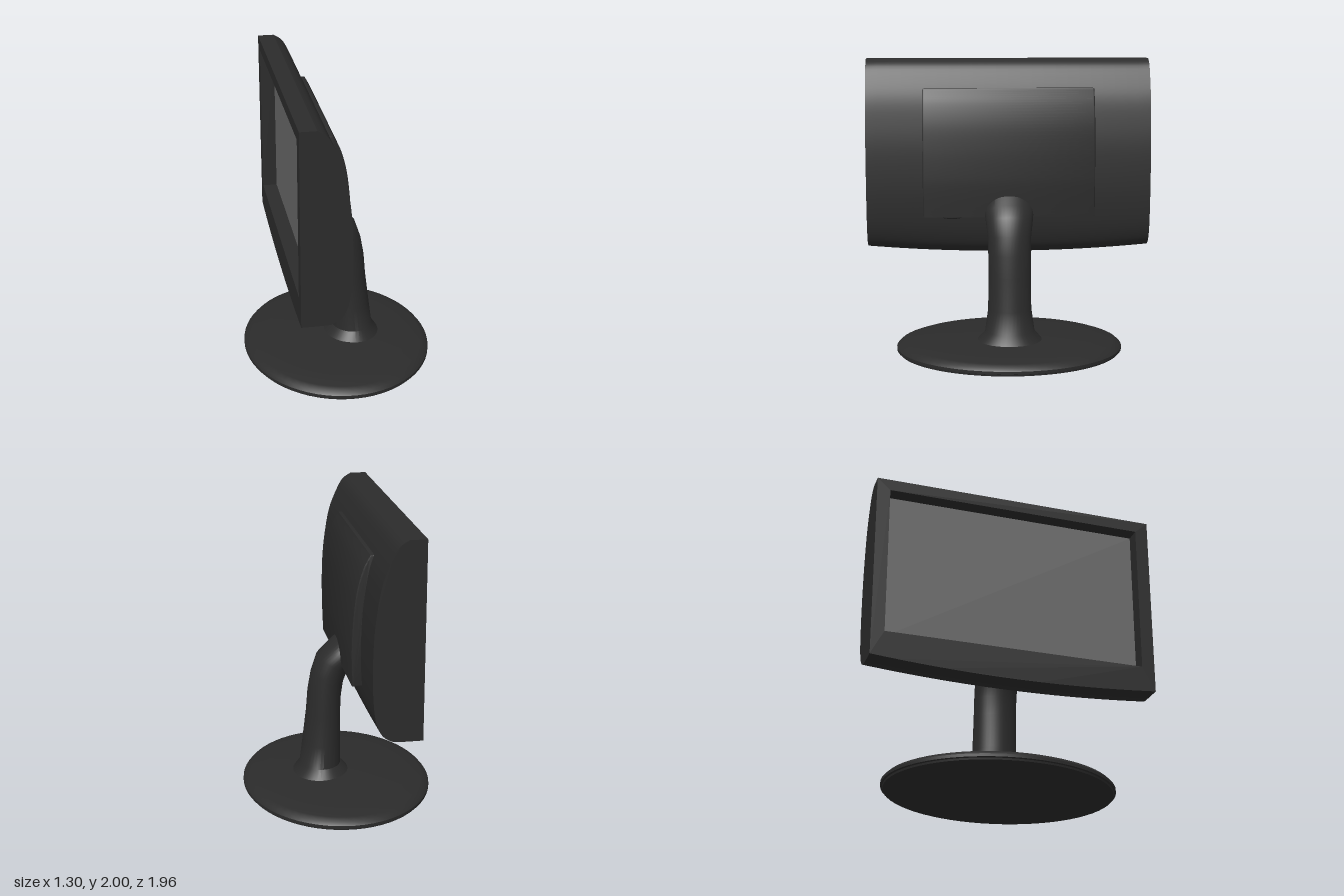
import * as THREE from 'three';
import { toCreasedNormals } from 'three/addons/utils/BufferGeometryUtils.js';

const dark = new THREE.MeshStandardMaterial({ color: 0x2b2b2b });
const glass = new THREE.MeshStandardMaterial({ color: 0x686868 });
const HALF = 0.98; // half width of the display along z

function add(group, name, geometry, material = dark) {
  const mesh = new THREE.Mesh(geometry, material);
  mesh.name = name;
  group.add(mesh);
  return mesh;
}

// Side profile in x/y: straight corner points joined to a smooth back curve
function profile(corners, curve) {
  const spline = new THREE.SplineCurve(curve.map(p => new THREE.Vector2(...p)));
  return new THREE.Shape([...corners.map(p => new THREE.Vector2(...p)), ...spline.getPoints(40)]);
}

// Skin through rings; each ring spans two points in x/y and has a half width in z
function loft(rings, sides) {
  const pos = [], index = [];
  for (const [x0, y0, x1, y1, w] of rings) {
    for (let i = 0; i < sides; i++) {
      const a = (i / sides) * Math.PI * 2, t = (1 + Math.cos(a)) / 2;
      pos.push(x0 + (x1 - x0) * t, y0 + (y1 - y0) * t, w * Math.sin(a));
    }
  }
  for (let r = 0; r < rings.length - 1; r++) {
    for (let i = 0; i < sides; i++) {
      const a = r * sides + i, b = r * sides + (i + 1) % sides;
      index.push(a, a + sides, b, b, a + sides, b + sides);
    }
  }
  const geo = new THREE.BufferGeometry();
  geo.setAttribute('position', new THREE.Float32BufferAttribute(pos, 3));
  geo.setIndex(index);
  return toCreasedNormals(geo, 0.55);
}

export function createModel() {
  const model = new THREE.Group();
  model.name = 'monitor';

  // Curved rear housing, its underside bowed along the width
  const shell = new THREE.ExtrudeGeometry(
    profile([[-0.28, 0.655]], [
      [-0.2, 0.658], [-0.15, 0.69], [-0.115, 0.74], [-0.085, 0.84], [-0.068, 1.0], [-0.063, 1.18],
      [-0.07, 1.4], [-0.09, 1.58], [-0.12, 1.74], [-0.17, 1.87], [-0.22, 1.96], [-0.28, 2.0],
    ]),
    { depth: 2 * HALF, steps: 24, bevelEnabled: false });
  shell.translate(0, 0, -HALF);
  const p = shell.attributes.position;
  for (let i = 0; i < p.count; i++) {
    const low = THREE.MathUtils.clamp((0.9 - p.getY(i)) / 0.245, 0, 1);
    p.setY(i, p.getY(i) + 0.045 * low * (p.getZ(i) / HALF) ** 2);
  }
  add(model, 'rearHousing', toCreasedNormals(shell, 0.5));

  // Bezel around the recessed screen
  const frame = new THREE.Shape();
  frame.moveTo(-HALF, 0.7);
  frame.quadraticCurveTo(0, 0.61, HALF, 0.7);
  frame.lineTo(HALF, 2);
  frame.lineTo(-HALF, 2);
  frame.closePath();
  const hole = new THREE.Path();
  hole.moveTo(-0.89, 0.87);
  hole.lineTo(-0.89, 1.92);
  hole.lineTo(0.89, 1.92);
  hole.lineTo(0.89, 0.87);
  hole.closePath();
  frame.holes.push(hole);
  const bezel = add(model, 'bezel', toCreasedNormals(
    new THREE.ExtrudeGeometry(frame, { depth: 0.11, bevelEnabled: false, curveSegments: 24 }), 0.5));
  bezel.rotation.y = -Math.PI / 2;
  bezel.position.x = -0.28;

  // Screen, facing -x
  const screen = add(model, 'screen', new THREE.PlaneGeometry(1.78, 1.05), glass);
  screen.rotation.y = -Math.PI / 2;
  screen.position.set(-0.29, 1.395, 0);

  // Raised cover on the back
  const cover = new THREE.ExtrudeGeometry(
    profile([[-0.15, 1.8], [-0.15, 0.945]], [
      [-0.018, 0.945], [-0.012, 1.1], [-0.012, 1.22], [-0.022, 1.4],
      [-0.043, 1.57], [-0.08, 1.71], [-0.125, 1.8],
    ]),
    { depth: 1.16, bevelSize: 0.01, bevelThickness: 0.01, bevelSegments: 2 });
  cover.translate(0, 0, -0.58);
  add(model, 'rearCover', toCreasedNormals(cover, 0.5));

  // Small latch under the cover
  const latch = add(model, 'latch', new THREE.SphereGeometry(1, 20, 10));
  latch.scale.set(0.015, 0.014, 0.07);
  latch.position.set(-0.04, 0.932, 0.39);

  // Neck: flared foot, column, and head bending into the back
  add(model, 'neck', loft([
    [-0.09, 0.1, 0.3, 0.1, 0.225],
    [-0.03, 0.165, 0.255, 0.165, 0.17],
    [-0.03, 0.32, 0.235, 0.32, 0.148],
    [-0.03, 0.55, 0.207, 0.55, 0.146],
    [-0.035, 0.67, 0.195, 0.7, 0.146],
    [-0.05, 0.77, 0.172, 0.83, 0.147],
    [-0.08, 0.85, 0.13, 0.955, 0.16],
    [-0.09, 0.88, 0.06, 1.025, 0.167],
    [-0.1, 0.89, 0, 1.08, 0.167],
    [-0.12, 0.89, -0.06, 1.09, 0.16],
  ], 40));

  // Oval base
  const rim = [[0, 0], [0.98, 0], [0.984, 0.012], [1, 0.016], [1, 0.035], [0.975, 0.055],
    [0.92, 0.07], [0.75, 0.083], [0.5, 0.097], [0.28, 0.108], [0, 0.11]];
  const base = new THREE.LatheGeometry(rim.map(q => new THREE.Vector2(...q)), 64);
  base.scale(0.65, 1, 0.78);
  add(model, 'base', toCreasedNormals(base, 0.5));

  return model;
}
